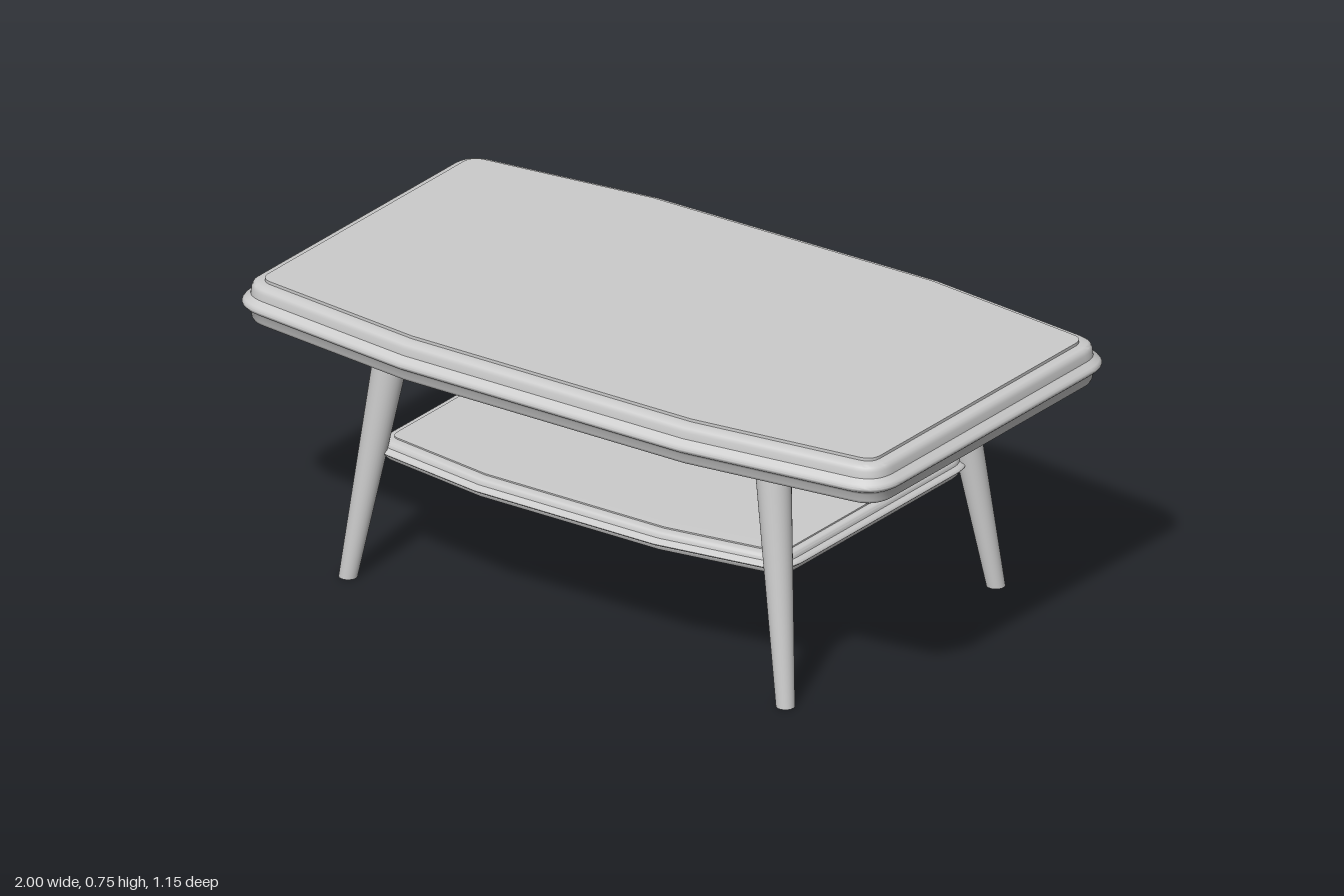
import * as THREE from 'three';
import { toCreasedNormals } from 'three/addons/utils/BufferGeometryUtils.js';

const material = new THREE.MeshStandardMaterial({ color: 0xcccccc });

// Boat-shaped outline, moved inwards by d: straight ends, bent long sides, rounded corners
function outline(d) {
  const slope = 0.122, bend = 0.43, end = 1 - d, side = 0.573 - d;
  const corner = side - slope * (end - bend);
  const r = 0.095 - d;
  const curve = new THREE.QuadraticBezierCurve(
    new THREE.Vector2(end, corner - r),
    new THREE.Vector2(end, corner),
    new THREE.Vector2(end - r, corner + slope * r)
  );
  const quarter = [...curve.getPoints(10), new THREE.Vector2(bend, side)];
  const mirrored = quarter.map(p => new THREE.Vector2(-p.x, p.y)).reverse();
  const half = [...quarter, ...mirrored];
  return [...half, ...half.map(p => p.clone().negate())];
}

// Moulded edge from bottom to top: [inset, height]
const profile = [
  [0.036, 0], [0.028, 0.004], [0.024, 0.012], [0.022, 0.03], [0.018, 0.035],
  [0.006, 0.042], [0.001, 0.048], [0, 0.052], [0.001, 0.056], [0.006, 0.062],
  [0.018, 0.069], [0.022, 0.073], [0.024, 0.09], [0.028, 0.1], [0.036, 0.105],
  [0.058, 0.106], [0.058, 0.114],
];

// Stack the outlines and close the bottom and top with fans
function slabGeometry() {
  const rings = profile.map(([d, y]) => outline(d).map(p => [p.x, y, p.y]));
  const n = rings[0].length;
  const pos = [];
  const tri = (a, b, c) => pos.push(...a, ...b, ...c);
  for (let i = 0; i < n; i++) {
    const j = (i + 1) % n;
    for (let k = 0; k < rings.length - 1; k++) {
      const low = rings[k], high = rings[k + 1];
      tri(low[i], high[i], high[j]);
      tri(low[i], high[j], low[j]);
    }
    const first = rings[0], last = rings[rings.length - 1];
    tri([0, first[0][1], 0], first[i], first[j]);
    tri([0, last[0][1], 0], last[j], last[i]);
  }
  const geometry = new THREE.BufferGeometry();
  geometry.setAttribute('position', new THREE.Float32BufferAttribute(pos, 3));
  return geometry;
}

function addSlab(group, name, scale, y) {
  const geometry = slabGeometry().scale(...scale);
  const mesh = new THREE.Mesh(toCreasedNormals(geometry, 0.65), material);
  mesh.name = name;
  mesh.position.y = y;
  group.add(mesh);
}

// Tapered leg, sheared outwards so both ends stay level
function addLeg(group, name, sx, sz) {
  const height = 0.638;
  const geometry = new THREE.CylinderGeometry(0.047, 0.024, height, 32);
  geometry.translate(0, height / 2, 0);
  geometry.applyMatrix4(new THREE.Matrix4().makeShear(
    0, 0, -sx * 0.09 / height, -sz * 0.07 / height, 0, 0));
  const leg = new THREE.Mesh(geometry, material);
  leg.name = name;
  leg.position.set(sx * 0.673, 0, sz * 0.45);
  group.add(leg);
}

export function createModel() {
  const table = new THREE.Group();
  table.name = 'coffeeTable';

  addSlab(table, 'tabletop', [1, 1, 1], 0.633);
  addSlab(table, 'lowerShelf', [0.64, 0.48, 0.805], 0.318);

  for (const [sx, xName] of [[1, 'Left'], [-1, 'Right']]) {
    for (const [sz, zName] of [[1, 'front'], [-1, 'back']]) {
      addLeg(table, zName + xName + 'Leg', sx, sz);
    }
  }
  return table;
}
